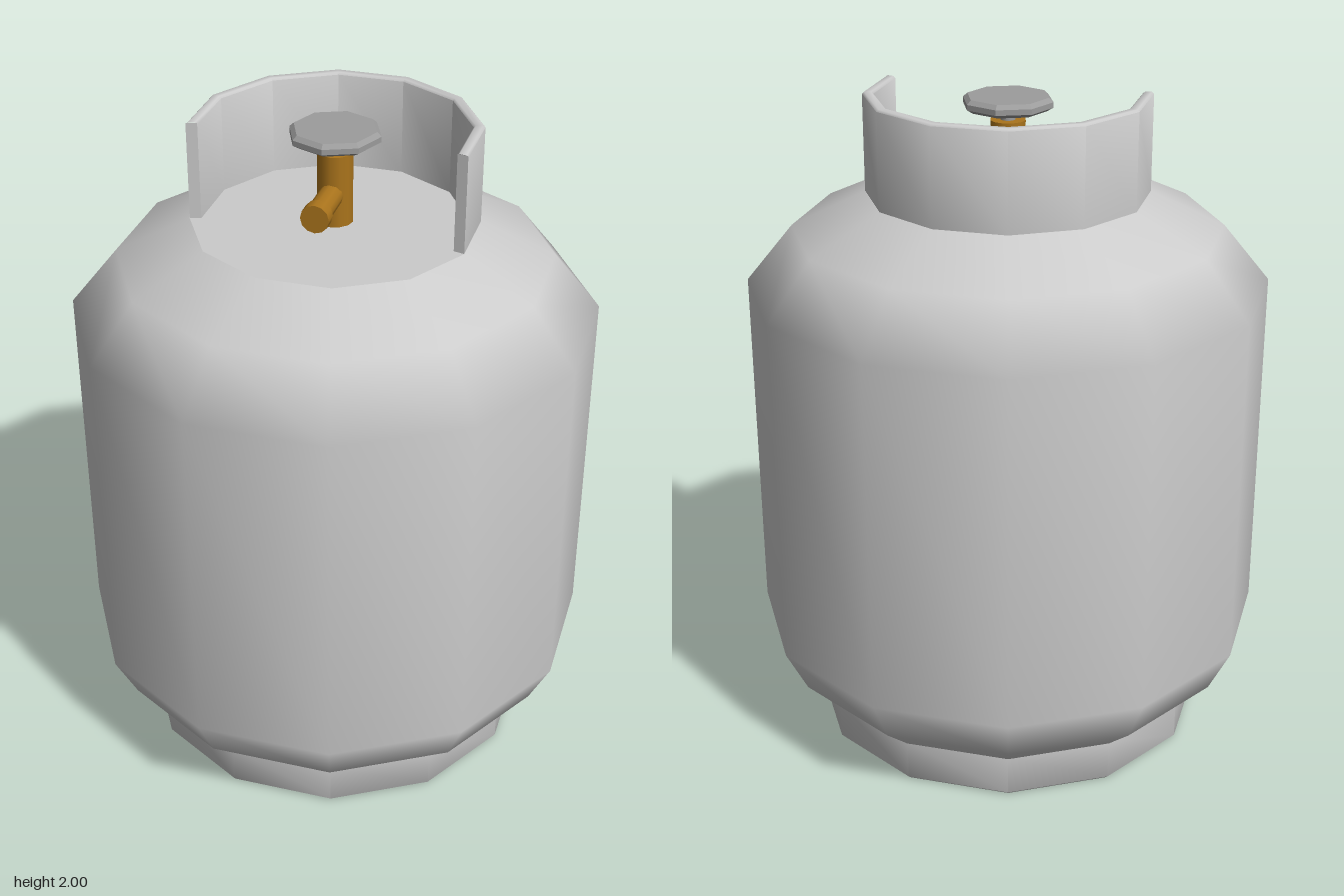
import * as THREE from 'three';
import { toCreasedNormals } from 'three/addons/utils/BufferGeometryUtils.js';

const SIDES = 12;
const STEP = (Math.PI * 2) / SIDES;
const TO_CORNER = 1 / Math.cos(STEP / 2); // flat distance -> corner radius

const steel = new THREE.MeshStandardMaterial({ color: 0xcccccc });
const darkSteel = new THREE.MeshStandardMaterial({ color: 0x9c9c9c });
const brass = new THREE.MeshStandardMaterial({ color: 0xaa741c });

function add(parent, name, geometry, material) {
  const mesh = new THREE.Mesh(geometry, material);
  mesh.name = name;
  parent.add(mesh);
  return mesh;
}

// Twelve-sided turned shape; radii are measured to the flats
function turned(profile, first = 0.5, count = SIDES) {
  const points = profile.map(([r, y]) => new THREE.Vector2(r * TO_CORNER, y));
  return new THREE.LatheGeometry(points, count, first * STEP, count * STEP);
}

// Closed band profile, running up the outside and down the inside
function band(inner, outer, y0, y1, bevel) {
  return [
    [inner, y0], [outer, y0], [outer, y1 - bevel], [outer - bevel, y1],
    [inner + bevel, y1], [inner, y1 - bevel], [inner, y0],
  ];
}

function disc(radius) {
  return new THREE.CircleGeometry(radius * TO_CORNER, SIDES, STEP / 2);
}

export function createModel() {
  const model = new THREE.Group();
  model.name = 'gasCylinder';

  // Tank shell with flat top and bottom
  add(model, 'tank', turned([
    [0.59, 0.13], [0.69, 0.22], [0.755, 0.355],
    [0.755, 1.43], [0.62, 1.6], [0.407, 1.705],
  ]), steel);
  const top = add(model, 'tankTop', disc(0.407), steel);
  top.rotation.x = -Math.PI / 2;
  top.position.y = 1.705;
  const bottom = add(model, 'tankBottom', disc(0.59), steel);
  bottom.rotation.x = Math.PI / 2;
  bottom.position.y = 0.13;

  // Open foot ring
  add(model, 'footRing', toCreasedNormals(turned([
    [0.55, 0.13], [0.55, 0.008], [0.558, 0], [0.579, 0], [0.587, 0.008], [0.587, 0.13],
  ]), 0.9), steel);

  // Collar guard, open toward the front
  const collar = new THREE.Group();
  collar.name = 'collar';
  model.add(collar);
  const inner = 0.374, outer = 0.406;
  add(collar, 'collarWall',
    toCreasedNormals(turned(band(inner, outer, 1.703, 2, 0.006), 2.5, 7), 0.9), steel);
  for (const side of [1, -1]) {
    const angle = side * 2.5 * STEP;
    const mid = ((inner + outer) / 2) * TO_CORNER;
    const end = add(collar, 'collarEnd',
      new THREE.PlaneGeometry((outer - inner) * TO_CORNER, 0.296), steel);
    end.position.set(Math.sin(angle) * mid, 1.851, Math.cos(angle) * mid);
    end.rotation.y = angle - side * Math.PI / 2;
  }

  // Valve body, outlet and stem
  const valve = new THREE.Group();
  valve.name = 'valve';
  model.add(valve);
  const rod = (name, radius, length, material) =>
    add(valve, name, new THREE.CylinderGeometry(radius, radius, length, 12), material);
  rod('valveBody', 0.053, 0.215, brass).position.y = 1.8125;
  rod('valveStem', 0.022, 0.05, darkSteel).position.y = 1.94;
  const pipe = rod('outletPipe', 0.035, 0.17, brass);
  pipe.rotation.x = Math.PI / 2;
  pipe.position.set(0, 1.8, 0.085);
  const nut = rod('outletNut', 0.042, 0.04, brass);
  nut.rotation.x = Math.PI / 2;
  nut.position.set(0, 1.8, 0.185);

  // Eight-sided hand wheel with bevelled rim
  const wheelProfile = [[0, 1.95], [0.115, 1.95], [0.135, 1.962], [0.135, 1.978], [0.122, 1.99], [0, 1.99]]
    .map(([r, y]) => new THREE.Vector2(r, y));
  add(valve, 'handWheel',
    toCreasedNormals(new THREE.LatheGeometry(wheelProfile, 8), 0.5), darkSteel);

  return model;
}
